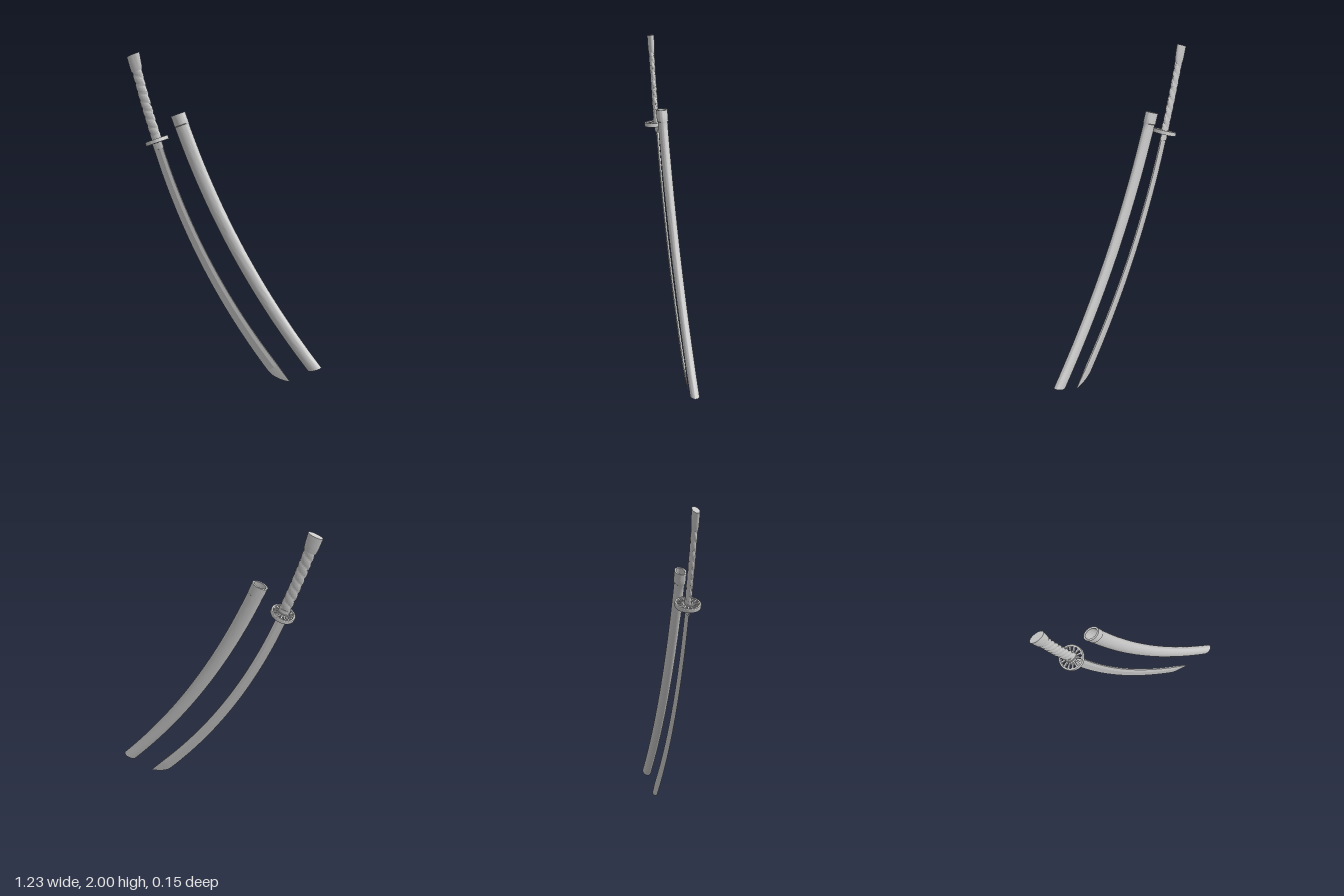
import * as THREE from 'three';
import { toCreasedNormals } from 'three/addons/utils/BufferGeometryUtils.js';

const TILT = THREE.MathUtils.degToRad(20); // cross-sections slope up to the right
const material = new THREE.MeshStandardMaterial({ color: 0xcccccc, roughness: 0.6 });

const bezier = (a, b, c) => new THREE.QuadraticBezierCurve(
  new THREE.Vector2(...a), new THREE.Vector2(...b), new THREE.Vector2(...c));

function addMesh(parent, name, geometry) {
  const m = new THREE.Mesh(geometry, material);
  m.name = name;
  parent.add(m);
  return m;
}

// Skin a list of closed rings (running from top to bottom) and cap both ends.
function skin(rings, crease = 0.6) {
  const n = rings[0].length, pos = [], idx = [];
  rings.forEach(r => r.forEach(p => pos.push(...p)));
  for (let i = 0; i < rings.length - 1; i++) {
    for (let j = 0; j < n; j++) {
      const k = (j + 1) % n, a = i * n + j, b = i * n + k;
      idx.push(a, b, a + n, b, b + n, a + n);
    }
  }
  const cap = (i, flip) => {
    const c = pos.length / 3, mid = [0, 1, 2].map(d => rings[i].reduce((s, p) => s + p[d], 0) / n);
    pos.push(...mid);
    for (let j = 0; j < n; j++) {
      const a = i * n + j, b = i * n + (j + 1) % n;
      if (flip) idx.push(c, b, a); else idx.push(c, a, b);
    }
  };
  cap(0, true);
  cap(rings.length - 1, false);
  const g = new THREE.BufferGeometry();
  g.setAttribute('position', new THREE.Float32BufferAttribute(pos, 3));
  g.setIndex(idx);
  return toCreasedNormals(g, crease);
}

// Elliptical ring at t on a curve; bump(angle) scales the radius.
function ring(curve, t, a, b, sides = 32, bump = () => 1) {
  const c = curve.getPoint(t);
  return Array.from({ length: sides }, (_, j) => {
    const th = j / sides * Math.PI * 2, s = bump(th), w = a * s * Math.cos(th);
    return [c.x + w * Math.cos(TILT), c.y + w * Math.sin(TILT), b * s * Math.sin(th)];
  });
}

function buildScabbard(parent) {
  const path = bezier([-0.295, 1.635], [0.006, 0.793], [0.576, 0.103]);
  const rings = [];
  // hollow inside, from the floor up to the mouth
  for (let i = 24; i >= 0; i--) rings.push(ring(path, i / 25, 0.037, 0.023));
  // collar at the mouth
  [0, 0.02, 0.038].forEach(t => rings.push(ring(path, t, 0.047, 0.033)));
  // outer body
  for (let i = 0; i <= 40; i++) {
    const t = 0.04 + 0.96 * i / 40;
    rings.push(ring(path, t, 0.046 - 0.003 * t, 0.028));
  }
  addMesh(parent, 'scabbard', skin(rings));
}

function buildBlade(parent) {
  const spine = bezier([-0.4, 1.45], [-0.161, 0.715], [0.333, 0.118]);
  const edge = bezier([-0.458, 1.435], [-0.218, 0.681], [0.277, 0.066]);
  const tipSpine = bezier([0.333, 0.118], [0.38, 0.058], [0.424, 0.003]);
  const tipEdge = bezier([0.277, 0.066], [0.32, 0.008], [0.424, 0.001]);
  const section = (s, e, k) => {
    const r = s.clone().lerp(e, 0.35); // ridge line
    return [[s.x, s.y, -0.005 * k], [s.x, s.y, 0.005 * k], [r.x, r.y, 0.007 * k],
      [e.x, e.y, 0], [r.x, r.y, -0.007 * k]];
  };
  const rings = [];
  for (let i = 0; i <= 40; i++) rings.push(section(spine.getPoint(i / 40), edge.getPoint(i / 40), 1));
  for (let i = 1; i <= 10; i++) {
    const t = i / 10;
    rings.push(section(tipSpine.getPoint(t), tipEdge.getPoint(t), 1 - 0.95 * t));
  }
  addMesh(parent, 'blade', skin(rings, 0.2));

  // sleeve at the root of the blade
  const root = bezier([-0.436, 1.47], [-0.43, 1.45], [-0.42, 1.42]);
  addMesh(parent, 'bladeCollar', skin([0, 0.5, 1].map(t => ring(root, t, 0.033, 0.011))));
}

function buildGuard(parent) {
  const guard = new THREE.Group();
  guard.name = 'guard';
  guard.position.set(-0.432, 1.47, 0);
  guard.rotation.z = TILT;
  parent.add(guard);

  // pierced disc with radial slots
  const disc = new THREE.Shape().absarc(0, 0, 0.066, 0, Math.PI * 2);
  const slots = 14;
  for (let i = 0; i < slots; i++) {
    const a = i / slots * Math.PI * 2, at = (r, d) => new THREE.Vector2(r * Math.cos(a + d), r * Math.sin(a + d));
    disc.holes.push(new THREE.Path([at(0.03, -0.09), at(0.058, -0.14), at(0.061, 0), at(0.058, 0.14), at(0.03, 0.09)]));
  }
  const plate = new THREE.ExtrudeGeometry(disc, { depth: 0.014, bevelEnabled: false, curveSegments: 48 });
  plate.translate(0, 0, -0.007).rotateX(-Math.PI / 2);
  addMesh(guard, 'guardPlate', plate);

  // raised outer rim
  const profile = [[0.062, -0.012], [0.071, -0.012], [0.073, -0.009], [0.073, 0.009], [0.071, 0.012], [0.062, 0.012], [0.062, -0.012]];
  const rim = new THREE.LatheGeometry(profile.map(p => new THREE.Vector2(...p)), 48);
  addMesh(guard, 'guardRim', toCreasedNormals(rim, 0.5));

  // spacers above and below the plate
  const spacer = new THREE.CylinderGeometry(1, 1, 0.026, 32).scale(0.036, 1, 0.022);
  addMesh(guard, 'guardSpacer', spacer);
}

function buildHandle(parent) {
  const path = bezier([-0.578, 1.985], [-0.517, 1.727], [-0.432, 1.475]);
  // wrapped grip with spiralling ridges
  const grip = [];
  for (let i = 0; i <= 120; i++) {
    const t = 0.12 + 0.83 * i / 120;
    grip.push(ring(path, t, 0.031, 0.015, 40,
      th => 0.9 + 0.2 * Math.sqrt(Math.abs(Math.sin(Math.PI * 10 * t + th)))));
  }
  addMesh(parent, 'grip', skin(grip, 1));

  // end cap and lower ferrule
  const pommel = [[0, 0.043, 0.019], [0.1, 0.041, 0.019], [0.17, 0.038, 0.018], [0.19, 0.035, 0.017]];
  addMesh(parent, 'pommel', skin(pommel.map(s => ring(path, ...s))));
  const ferrule = [[0.94, 0.032, 0.017], [0.97, 0.033, 0.018], [1, 0.033, 0.018]];
  addMesh(parent, 'ferrule', skin(ferrule.map(s => ring(path, ...s))));
}

export function createModel() {
  const model = new THREE.Group();
  model.name = 'swordAndScabbard';
  const lean = new THREE.Group(); // slight lean forward toward the bottom
  lean.name = 'leaningSet';
  lean.rotation.x = -0.0105;
  lean.position.z = 0.014;
  model.add(lean);

  const sword = new THREE.Group();
  sword.name = 'sword';
  lean.add(sword);
  buildHandle(sword);
  buildGuard(sword);
  buildBlade(sword);
  buildScabbard(lean);
  return model;
}
